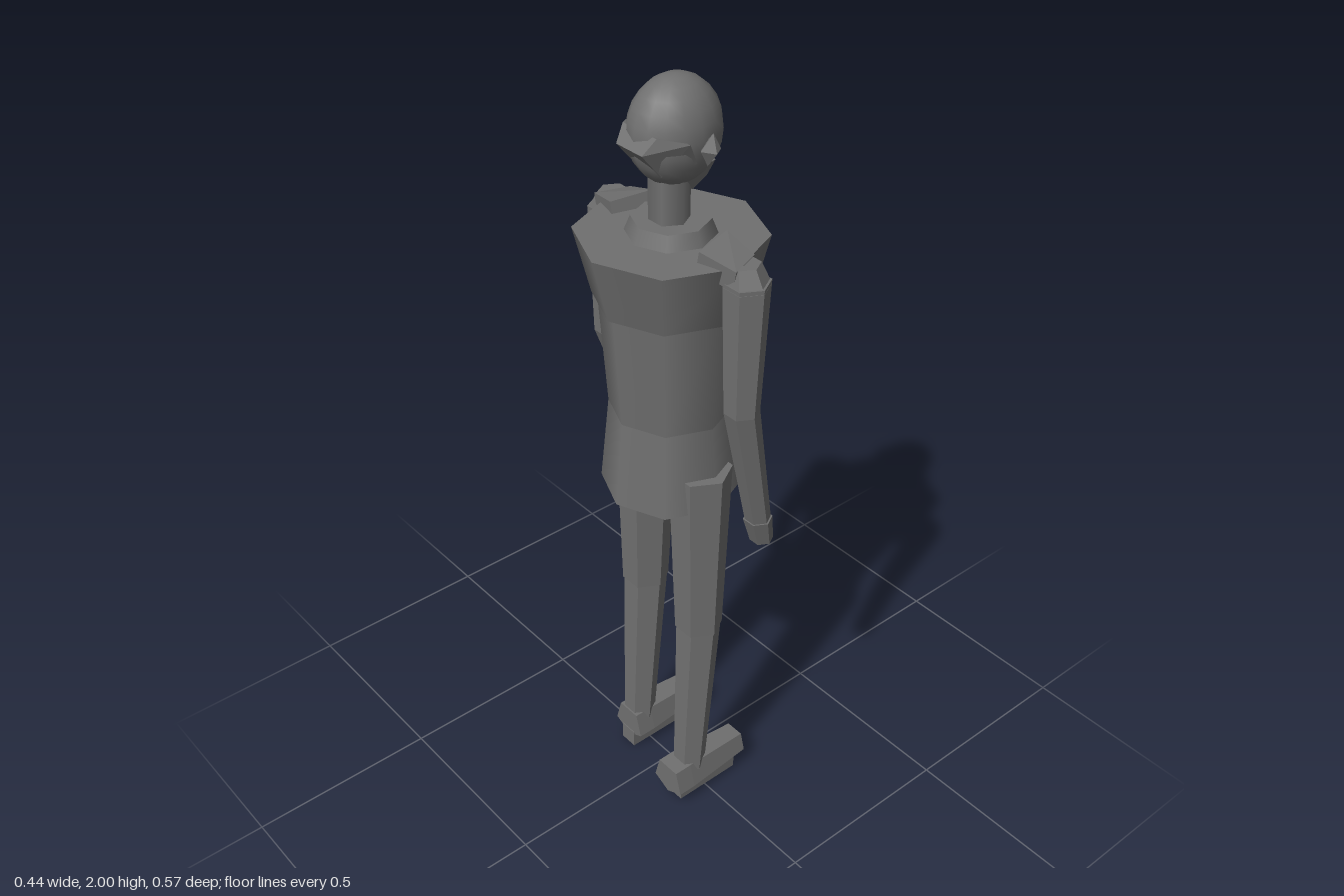
import * as THREE from 'three';
import { ConvexGeometry } from 'three/addons/geometries/ConvexGeometry.js';

export function createModel() {
  const model = new THREE.Group();
  const grey = new THREE.MeshStandardMaterial({ color: 0x707070 });
  grey.name = 'grey';

  const add = (name, geometry) => {
    const mesh = new THREE.Mesh(geometry, grey);
    mesh.name = name;
    model.add(mesh);
    return mesh;
  };
  const facet = (g) => {
    const flat = g.index ? g.toNonIndexed() : g;
    flat.computeVertexNormals();
    return flat;
  };
  // upright smooth band of the body
  const band = (name, top, bottom, rTop, rBottom, sides = 8, x = 0) => {
    add(name, new THREE.CylinderGeometry(rTop, rBottom, top - bottom, sides)).position.set(x, (top + bottom) / 2, 0);
  };
  // limb with level ends, leaning from a to b
  const limb = (name, a, b, rA, rB, sides = 6) => {
    const g = new THREE.CylinderGeometry(rA, rB, 1, sides);
    const p = g.attributes.position;
    for (let i = 0; i < p.count; i++) {
      const t = 0.5 - p.getY(i);
      p.setXYZ(i,
        p.getX(i) + a[0] + (b[0] - a[0]) * t,
        a[1] + (b[1] - a[1]) * t,
        p.getZ(i) + a[2] + (b[2] - a[2]) * t);
    }
    add(name, facet(g));
  };
  const hull = (name, points) =>
    add(name, facet(new ConvexGeometry(points.map((q) => new THREE.Vector3(...q)))));
  const bothSides = (points) => points.flatMap(([x, y, z]) => [[x, y, z], [x, y, -z]]);

  // torso and neck
  band('chest', 1.64, 1.48, 0.22, 0.18);
  band('waist', 1.485, 1.19, 0.168, 0.148);
  band('hips', 1.19, 0.97, 0.148, 0.17);
  band('collar', 1.675, 1.63, 0.09, 0.108);
  band('neck', 1.8, 1.66, 0.047, 0.047, 6, -0.005);

  // head
  const head = add('head', new THREE.SphereGeometry(1, 16, 12));
  head.scale.set(0.112, 0.122, 0.093);
  head.position.set(0.01, 1.878, 0);
  hull('backOfHead', bothSides([
    [-0.114, 1.865, 0.042], [-0.085, 1.9, 0.055], [-0.06, 1.8, 0.04],
    [-0.03, 1.885, 0.098], [0.0, 1.83, 0.085],
  ]));
  hull('chin', bothSides([
    [0.0, 1.775, 0.04], [0.1, 1.79, 0.03], [0.045, 1.732, 0.018], [0.085, 1.755, 0.02],
  ]));

  for (const s of [1, -1]) {
    const side = s > 0 ? 'right' : 'left';

    hull(side + 'Ear', [
      [0.0, 1.86, s * 0.095], [0.03, 1.895, s * 0.1], [0.045, 1.86, s * 0.108],
      [0.02, 1.822, s * 0.095], [0.025, 1.855, s * 0.118], [0.02, 1.86, s * 0.075],
    ]);

    // shoulder slab
    const slab = [[-0.05, 1.668, 0.15], [0.052, 1.675, 0.125], [0.055, 1.65, 0.21], [-0.025, 1.648, 0.24]];
    hull(side + 'Shoulder', slab.flatMap(([x, y, z]) => [[x, y, s * z], [x, y - 0.05, s * (z - 0.01)]]));

    // arm, with one swung further forward
    const elbow = [0.01, 1.28, s * 0.233];
    const wrist = s > 0 ? [0.08, 0.94, 0.225] : [0.125, 0.94, -0.225];
    const tip = s > 0 ? [0.098, 0.865, 0.222] : [0.172, 0.875, -0.222];
    limb(side + 'ShoulderCap', [0.015, 1.648, s * 0.22], [0.015, 1.6, s * 0.232], 0.038, 0.054);
    limb(side + 'UpperArm', [0.015, 1.61, s * 0.232], elbow, 0.054, 0.042);
    limb(side + 'Forearm', elbow, wrist, 0.042, 0.032);
    limb(side + 'Hand', wrist, tip, 0.036, 0.029);

    // leg, with one slightly ahead
    const dx = s > 0 ? 0 : 0.02;
    const knee = [-0.008 + dx, 0.58, s * 0.117];
    limb(side + 'Thigh', [-0.003 + dx, 1.06, s * 0.112], knee, 0.077, 0.06);
    limb(side + 'Shin', knee, [-0.035 + dx, 0.1, s * 0.117], 0.057, 0.042);

    // foot with a keel-shaped section
    const fx = s > 0 ? 0 : 0.055;
    const section = [[0, 0.01], [0.052, 0.06], [0.034, 0.125], [-0.034, 0.125], [-0.052, 0.06]];
    hull(side + 'Foot', section.flatMap(([z, y]) => [
      [-0.11 + fx, Math.max(y, 0.035), s * 0.117 + z],
      [-0.06 + fx, y, s * 0.117 + z],
      [0.13 + fx, 0.07 + (y - 0.07) * 0.75, s * 0.117 + z * 0.75],
    ]));
    const sole = add(side + 'Sole', new THREE.BoxGeometry(0.19, 0.05, 0.05));
    sole.position.set(0.01 + fx * 0.5, 0.03, s * 0.117);
  }
  return model;
}
